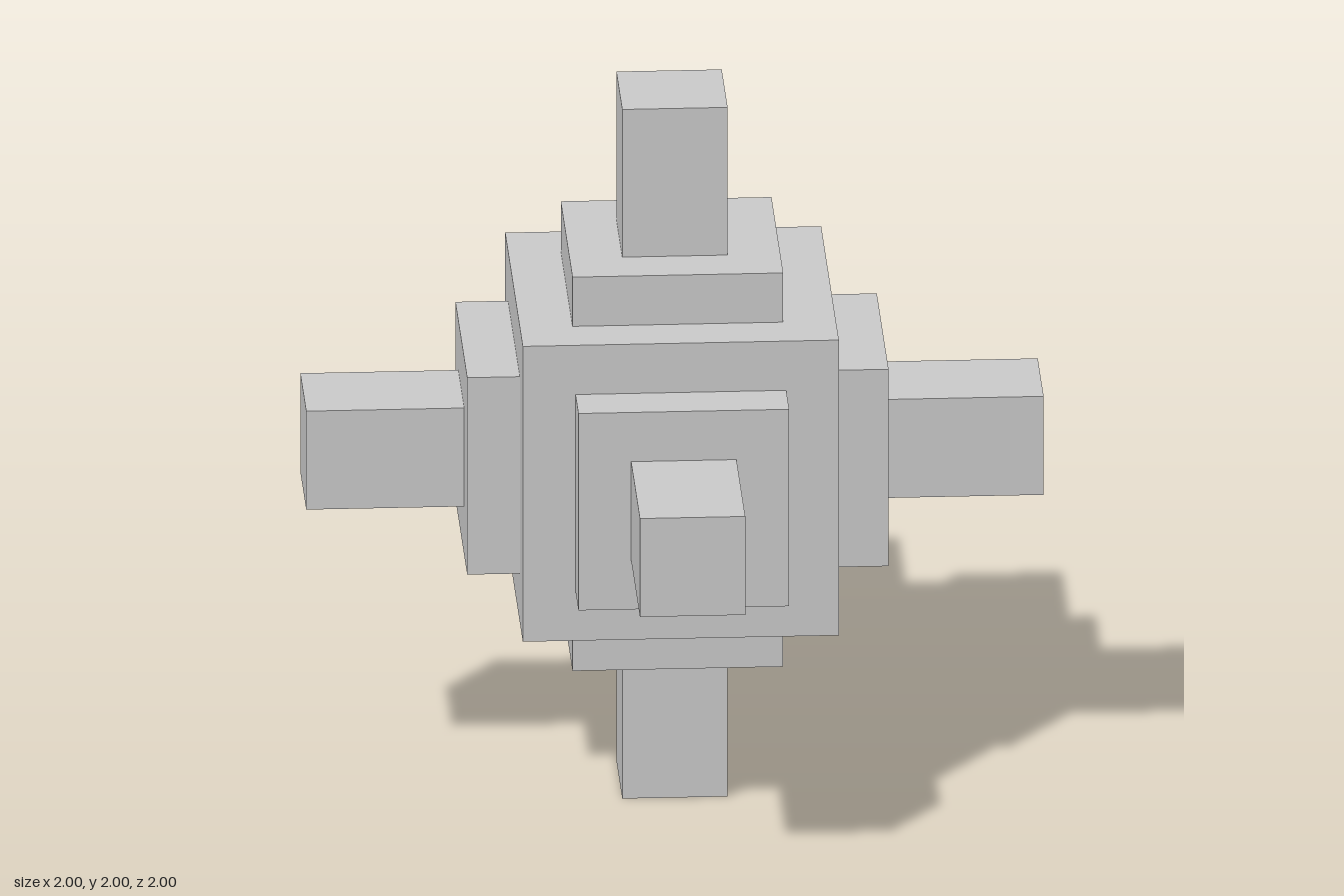
import * as THREE from 'three';

const U = 1 / 7; // every size is a multiple of this step
const material = new THREE.MeshStandardMaterial({ color: 0xcccccc, flatShading: true });

// Square block standing on the y axis between two heights (in steps)
function block(name, width, from, to) {
  const geometry = new THREE.BoxGeometry(width * U, (to - from) * U, width * U);
  geometry.translate(0, ((from + to) / 2) * U, 0);
  const mesh = new THREE.Mesh(geometry, material);
  mesh.name = name;
  return mesh;
}

export function createModel() {
  const model = new THREE.Group();
  model.name = 'steppedCubeCross';

  // Central cube
  model.add(block('core', 6, -3, 3));

  // A stepped plate and a square arm on each of the six faces
  const directions = {
    top: [0, 1, 0], bottom: [0, -1, 0],
    left: [1, 0, 0], right: [-1, 0, 0],
    front: [0, 0, 1], back: [0, 0, -1],
  };
  const up = new THREE.Vector3(0, 1, 0);
  for (const [side, direction] of Object.entries(directions)) {
    const branch = new THREE.Group();
    branch.name = side + 'Branch';
    branch.add(block(side + 'Plate', 4, 3, 4), block(side + 'Arm', 2, 4, 7));
    branch.quaternion.setFromUnitVectors(up, new THREE.Vector3(...direction));
    model.add(branch);
  }

  // Stand the lowest arm on the ground
  model.position.y = 1;
  const root = new THREE.Group();
  root.add(model);
  return root;
}
